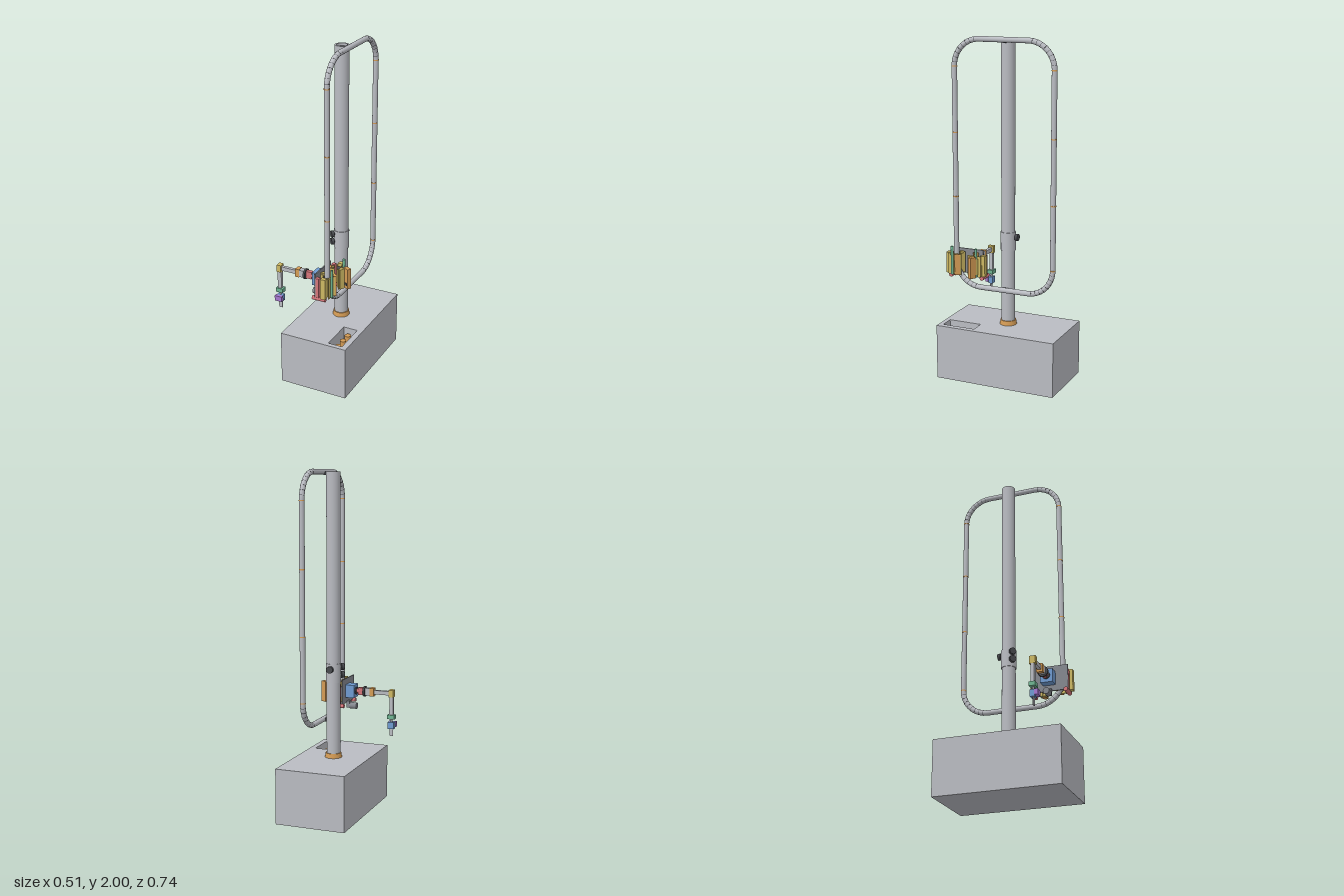
import * as THREE from 'three';

const mat = (name, color) => {
  const m = new THREE.MeshStandardMaterial({ color });
  m.name = name;
  return m;
};

export function createModel() {
  const grey = mat('light grey', 0xbabcc2);
  const steel = mat('steel grey', 0x85888f);
  const dark = mat('dark grey', 0x484a4e);
  const yellow = mat('yellow', 0xcdb863);
  const orange = mat('orange', 0xd59c55);
  const red = mat('red', 0xd6757a);
  const blue = mat('blue', 0x6f9bd1);
  const green = mat('green', 0x6fb592);
  const purple = mat('purple', 0xa678d0);

  const model = new THREE.Group();
  model.name = 'railRobot';

  const add = (parent, name, geometry, material, x = 0, y = 0, z = 0) => {
    const m = new THREE.Mesh(geometry, material);
    m.name = name;
    m.position.set(x, y, z);
    parent.add(m);
    return m;
  };
  const group = (name, parent = model) => {
    const g = new THREE.Group();
    g.name = name;
    parent.add(g);
    return g;
  };
  // Box given by its limits on each axis
  const box = (p, name, m, x0, x1, y0, y1, z0, z1) =>
    add(p, name, new THREE.BoxGeometry(x1 - x0, y1 - y0, z1 - z0), m,
      (x0 + x1) / 2, (y0 + y1) / 2, (z0 + z1) / 2);
  // Upright cylinder from y0 to y1
  const post = (p, name, m, r, x, y0, y1, z, rTop = r) =>
    add(p, name, new THREE.CylinderGeometry(rTop, r, y1 - y0, 32), m, x, (y0 + y1) / 2, z);
  // Cylinder lying along x
  const axle = (p, name, m, r, x0, x1, y, z) => {
    const c = add(p, name, new THREE.CylinderGeometry(r, r, x1 - x0, 24), m, (x0 + x1) / 2, y, z);
    c.rotation.z = Math.PI / 2;
    return c;
  };

  // Base with an open pocket holding a control board
  const base = group('base');
  box(base, 'baseBlock', grey, -0.165, 0.253, 0, 0.225, -0.368, 0.368);
  const rect = (path, x0, x1, z0, z1) =>
    path.moveTo(x0, -z1).lineTo(x1, -z1).lineTo(x1, -z0).lineTo(x0, -z0).closePath();
  const lid = rect(new THREE.Shape(), -0.165, 0.253, -0.368, 0.368);
  lid.holes.push(rect(new THREE.Path(), 0.132, 0.219, 0.14, 0.341));
  const lidGeo = new THREE.ExtrudeGeometry(lid, { depth: 0.1, bevelEnabled: false });
  lidGeo.rotateX(-Math.PI / 2);
  add(base, 'basePocketRim', lidGeo, grey, 0, 0.225, 0);
  box(base, 'controlBoard', green, 0.132, 0.219, 0.225, 0.233, 0.14, 0.341);
  for (const z of [0.177, 0.24, 0.304]) post(base, 'boardPost', orange, 0.018, 0.176, 0.233, 0.3, z);

  // Hollow mast with inner rod and foot collar
  const mast = group('mast');
  const X = 0.045;
  const tube = [[0.03, 0.325], [0.04, 0.325], [0.04, 1.985], [0.03, 1.985], [0.03, 0.325]]
    .map(([r, y]) => new THREE.Vector2(r, y));
  for (let i = 0; i < 4; i++) {
    // One wall at a time keeps the rim crisp
    add(mast, 'mastTube', new THREE.LatheGeometry([tube[i], tube[i + 1]], 40), grey, X);
  }
  post(mast, 'mastInnerRod', grey, 0.017, X, 0.325, 1.975, 0);
  add(mast, 'mastPlug', new THREE.CylinderGeometry(0.03, 0.03, 0.01, 32), steel, X, 1.955, 0);
  post(mast, 'footCollar', orange, 0.05, X, 0.325, 0.352, 0, 0.046);

  // Clamp sleeve with two dark knobs
  post(mast, 'clampSleeve', grey, 0.044, X, 0.775, 0.885, 0);
  for (const [a, y] of [[Math.PI / 2, 0.855], [Math.PI * 1.24, 0.815], [Math.PI * 1.24, 0.862]]) {
    const knob = group('clampKnob', mast);
    knob.position.set(X, y, 0);
    knob.rotation.y = a;
    axle(knob, 'knobStem', dark, 0.01, 0.035, 0.05, 0, 0);
    axle(knob, 'knobHead', dark, 0.02, 0.047, 0.064, 0, 0);
  }
  // Brackets between mast and rail
  for (const y of [1.978, 0.547]) box(mast, 'railBracket', dark, 0.076, 0.101, y - 0.012, y + 0.009, -0.008, 0.008);

  // Closed loop rail, drawn in its own xy plane then turned to face sideways
  const rail = group('rail');
  rail.position.set(0.108, 1.266, 0);
  rail.rotation.y = -Math.PI / 2;
  const W = 0.304, H = 0.719, R = 0.155, T = 0.0155;
  for (const s of [-1, 1]) {
    post(rail, 'railUpright', grey, T, s * W, R - H, H - R, 0);
    axle(rail, 'railCross', grey, T, R - W, W - R, s * H, 0);
    for (let i = 0; i < 4; i++) post(rail, 'railBand', orange, T + 0.001, s * W,
      R - H + i * (H - R) * 2 / 3 - 0.003, R - H + i * (H - R) * 2 / 3 + 0.003, 0);
  }
  for (let q = 0; q < 4; q++) {
    const a0 = q * Math.PI / 2;
    const cx = (W - R) * (q === 0 || q === 3 ? 1 : -1);
    const cy = (H - R) * (q < 2 ? 1 : -1);
    add(rail, 'railBend', new THREE.TorusGeometry(R, T, 20, 24, Math.PI / 2), grey, cx, cy).rotation.z = a0;
    for (let i = 1; i < 9; i++) {
      const a = a0 + i * Math.PI / 18;
      add(rail, 'bendSeam', new THREE.CylinderGeometry(T + 0.0005, T + 0.0005, 0.002, 24), dark,
        cx + R * Math.cos(a), cy + R * Math.sin(a)).rotation.z = a;
    }
  }

  // Carriage plate, drive motor and side rollers
  const carriage = group('carriage');
  box(carriage, 'carriagePlate', steel, 0.049, 0.056, 0.605, 0.755, 0.158, 0.35);
  box(carriage, 'motor', blue, -0.005, 0.049, 0.64, 0.718, 0.205, 0.277);
  axle(carriage, 'motorFlange', dark, 0.022, -0.012, -0.005, 0.68, 0.24);
  axle(carriage, 'lowerKnob', steel, 0.019, -0.012, 0.032, 0.587, 0.24);
  box(carriage, 'lowerKnobMount', steel, 0.03, 0.05, 0.575, 0.615, 0.225, 0.255);

  // Two three-armed grippers around the rail, mirrored front to back
  for (const s of [-1, 1]) {
    const zc = 0.24 + s * 0.064;
    const grip = group('gripper', carriage);
    grip.position.set(0.108, 0, zc);
    for (let i = 0; i < 3; i++) {
      const arm = group('gripperArm', grip);
      arm.rotation.y = -s * Math.PI / 2 + i * Math.PI * 2 / 3;
      const m = i === 1 ? orange : yellow;
      box(arm, 'armPlate', m, 0.034, i ? 0.05 : 0.061, 0.615, 0.74, -0.015, 0.015);
      for (const y of [0.64, 0.715]) {
        const roller = add(arm, 'armRoller', new THREE.CylinderGeometry(0.009, 0.009, 0.026, 16), dark, 0.025, y, 0);
        roller.rotation.x = Math.PI / 2;
      }
      for (const e of [-1, 1]) box(arm, 'armCheek', yellow, 0.018, 0.042, 0.62, 0.735, e * 0.015 - 0.002, e * 0.015 + 0.002);
    }
    box(grip, 'gripperSidePlate', yellow, 0.024, 0.03, 0.615, 0.74, -0.042, 0.042);
    box(grip, 'gripperBridge', steel, -0.055, -0.03, 0.65, 0.71, -0.015, 0.015);
    post(carriage, 'guidePin', green, 0.008, 0.142, 0.615, 0.785, 0.24 + s * 0.077);
    axle(carriage, 'sideRoller', red, 0.0125, 0.033, 0.115, 0.601, 0.24 + s * 0.1);
    box(carriage, 'rollerMount', red, 0.056, 0.077, 0.61, 0.73, 0.24 + s * 0.1 - 0.011, 0.24 + s * 0.1 + 0.011);
  }
  // Latch on the rear gripper
  const latch = group('latch', carriage);
  latch.position.set(0.17, 0, 0.175);
  latch.rotation.y = -0.5;
  box(latch, 'latchBlock', orange, -0.02, 0.018, 0.615, 0.74, -0.012, 0.012);
  box(latch, 'latchPad', dark, -0.016, 0.014, 0.635, 0.65, 0.012, 0.015);
  box(latch, 'latchArm', yellow, -0.042, -0.02, 0.63, 0.725, -0.006, 0.006);

  // Reaching arm
  const arm = group('reachArm');
  axle(arm, 'shoulder', red, 0.0125, -0.055, -0.012, 0.68, 0.24);
  box(arm, 'shoulderBlock', red, -0.057, -0.022, 0.658, 0.702, 0.228, 0.252);
  axle(arm, 'wristDisc', dark, 0.031, -0.069, -0.057, 0.68, 0.24);
  box(arm, 'armSleeve', grey, -0.1, -0.069, 0.66, 0.702, 0.222, 0.258);
  box(arm, 'armJoint', orange, -0.125, -0.1, 0.655, 0.705, 0.222, 0.258);
  box(arm, 'armLink', grey, -0.22, -0.125, 0.668, 0.692, 0.23, 0.25);
  box(arm, 'elbow', yellow, -0.247, -0.22, 0.658, 0.702, 0.222, 0.258);
  box(arm, 'dropLink', grey, -0.246, -0.222, 0.55, 0.658, 0.23, 0.25);
  box(arm, 'toolMount', green, -0.256, -0.21, 0.525, 0.55, 0.222, 0.258);
  post(arm, 'toolStem', grey, 0.006, -0.233, 0.503, 0.525, 0.24);
  box(arm, 'toolBody', blue, -0.252, -0.214, 0.465, 0.505, 0.226, 0.253);
  box(arm, 'toolCover', purple, -0.256, -0.21, 0.473, 0.505, 0.253, 0.273);
  box(arm, 'toolBlade', grey, -0.243, -0.221, 0.42, 0.465, 0.238, 0.245);

  return model;
}
